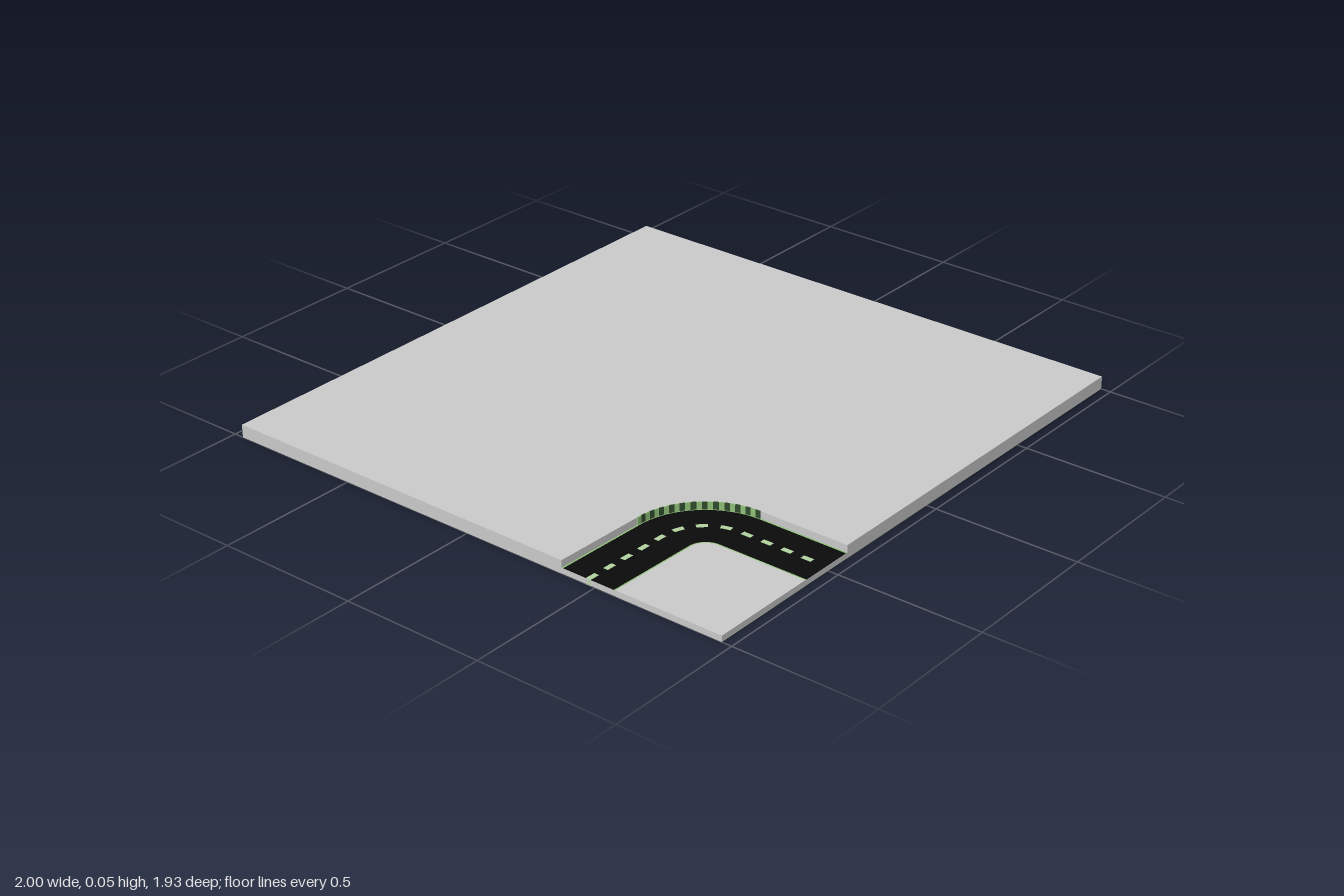
import * as THREE from 'three';

const mat = (color) => new THREE.MeshStandardMaterial({ color });
const grey = mat(0xcccccc);
const asphalt = mat(0x0b0b0b);
const verge = mat(0x8fbf78);
const paint = mat(0xb4d4a0);
const hedge = mat(0x2f4a2b);

const DEPTH = 0.965, TOP = 0.045, LOW = 0.021;
const CX = -0.67, CZ = 0.645, R = 0.16;      // centre and radius of the bend
const S1 = CX + 1, S2 = S1 + R * Math.PI / 2, S3 = S2 + DEPTH - CZ;

// Point on the road at distance s from the left edge, offset o towards the outside of the bend
function roadPoint(s, o) {
  if (s <= S1) return new THREE.Vector2(-1 + s, 0.475 + 0.01 * s / S1 - o);
  if (s >= S2) return new THREE.Vector2(CX + R + o, CZ + s - S2);
  const a = (s - S1) / R;
  return new THREE.Vector2(CX + (R + o) * Math.sin(a), CZ - (R + o) * Math.cos(a));
}

function roadLine(s0, s1, o) {
  const stops = [s0];
  for (let i = 0; i <= 16; i++) {
    const s = S1 + (S2 - S1) * i / 16;
    if (s > s0 + 1e-4 && s < s1 - 1e-4) stops.push(s);
  }
  stops.push(s1);
  return stops.map((s) => roadPoint(s, o));
}

// Upright prism over a plan outline given in (x, z)
function prism(name, outline, y0, y1, material) {
  const geometry = new THREE.ExtrudeGeometry(new THREE.Shape(outline), { depth: y1 - y0, bevelEnabled: false });
  geometry.rotateX(Math.PI / 2);
  const mesh = new THREE.Mesh(geometry, material);
  mesh.position.y = y1;
  mesh.name = name;
  return mesh;
}

function strip(name, s0, s1, o0, o1, y0, y1, material) {
  const outline = [...roadLine(s0, s1, o0), ...roadLine(s0, s1, o1).reverse()];
  return prism(name, outline, y0, y1, material);
}

export function createModel() {
  const model = new THREE.Group();
  model.name = 'roadTile';
  const v = (x, z) => new THREE.Vector2(x, z);

  // Raised ground around the outside of the bend
  model.add(prism('raisedGround', [...roadLine(0, S3, 0.102), v(1, DEPTH), v(1, -DEPTH), v(-1, -DEPTH)], 0, TOP, grey));

  // Lower ground inside the bend
  model.add(prism('cornerGround', [...roadLine(0, S3, -0.102), v(-1, DEPTH)], 0, LOW, grey));

  // Road with plain cut ends and green borders
  model.add(strip('road', 0, S3, -0.096, 0.096, 0.0006, 0.02, [asphalt, grey]));
  for (const side of [-1, 1]) {
    model.add(strip('roadBorder', 0, S3, side * 0.096, side * 0.102, 0.0006, 0.02, [verge, grey]));
  }

  // Centre line dashes, showing on both faces
  const dashes = new THREE.Group();
  dashes.name = 'centreLine';
  for (let s = 0; s < S3 - 0.03; s += 0.074) {
    dashes.add(strip('dash', s, s + 0.036, -0.009, 0.009, 0, 0.0206, paint));
  }
  model.add(dashes);

  // Striped bank along the outer edge of the bend
  const bank = new THREE.Group();
  bank.name = 'bank';
  const count = 24;
  for (let i = 0; i < count; i++) {
    const s = S1 + (S2 - S1) * i / count, next = S1 + (S2 - S1) * (i + 1) / count;
    bank.add(strip('bankStripe', s, next, 0.099, 0.103, 0.02, TOP + 0.0005, i % 2 ? hedge : verge));
  }
  model.add(bank);

  return model;
}
